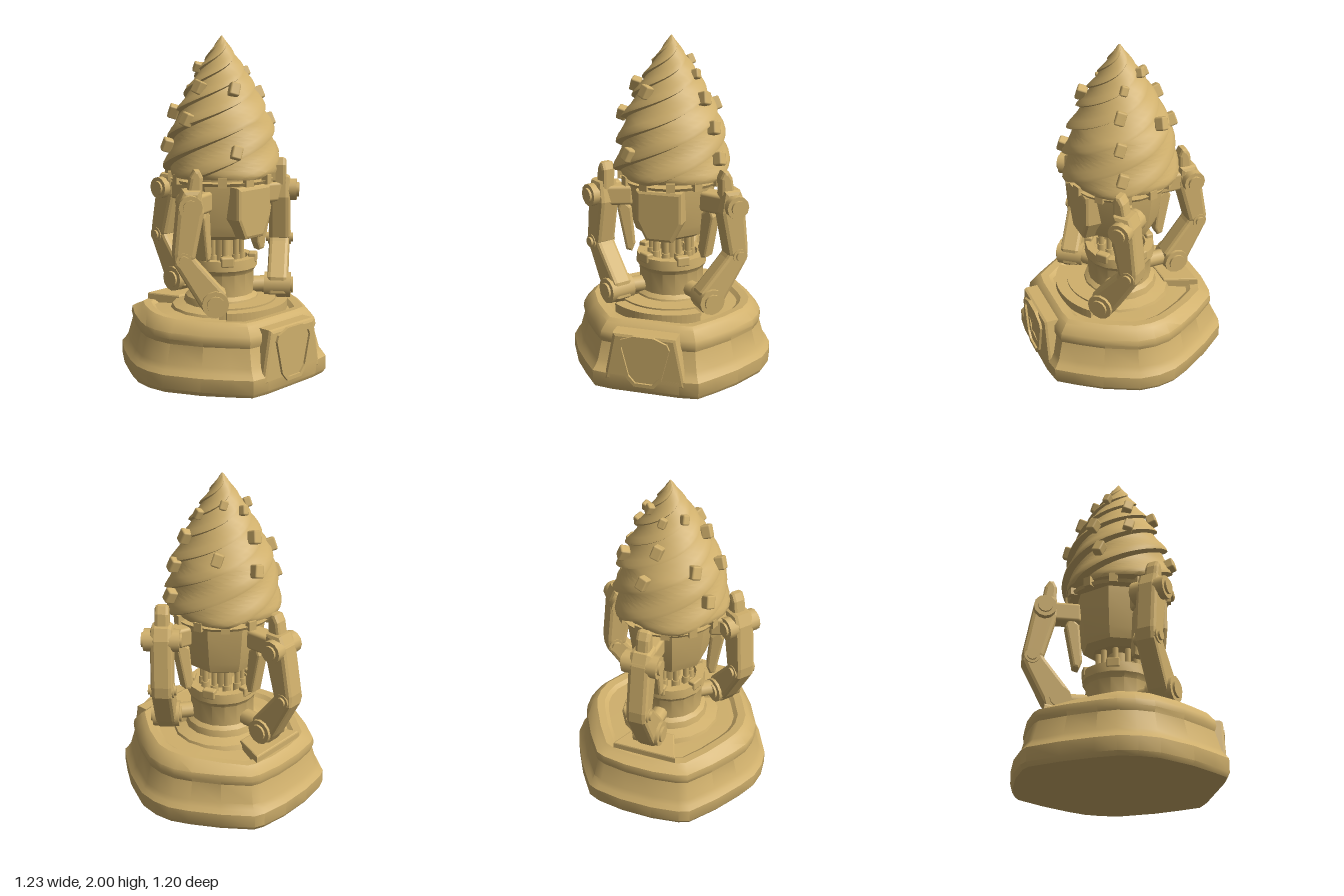
import * as THREE from 'three';
import { toCreasedNormals } from 'three/addons/utils/BufferGeometryUtils.js';
import { RoundedBoxGeometry } from 'three/addons/geometries/RoundedBoxGeometry.js';

const tan = new THREE.MeshStandardMaterial({ color: 0xd0b06c });
tan.name = 'sand tan';

function add(parent, name, geo, x = 0, y = 0, z = 0) {
  const m = new THREE.Mesh(geo, tan);
  m.name = name;
  m.position.set(x, y, z);
  parent.add(m);
  return m;
}

// Skin over closed rings (each running front -> +x -> back), capped at both ends
function loft(rings, crease) {
  const n = rings[0].length, pos = rings.flat(2), idx = [];
  for (let i = 0; i < rings.length - 1; i++)
    for (let j = 0; j < n; j++) {
      const a = i * n + j, b = i * n + (j + 1) % n;
      idx.push(a, b, a + n, b, b + n, a + n);
    }
  [0, rings.length - 1].forEach((r, top) => {
    const c = pos.length / 3, mean = [0, 1, 2].map(k => rings[r].reduce((s, p) => s + p[k], 0) / n);
    pos.push(...mean);
    for (let j = 0; j < n; j++) {
      const a = r * n + j, b = r * n + (j + 1) % n;
      if (top) idx.push(c, a, b); else idx.push(c, b, a);
    }
  });
  const g = new THREE.BufferGeometry();
  g.setAttribute('position', new THREE.Float32BufferAttribute(pos, 3));
  g.setIndex(idx);
  return toCreasedNormals(g, crease);
}

function lathe(points, sides, crease = 0.6) {
  const g = new THREE.LatheGeometry(points.map(p => new THREE.Vector2(...p)), sides);
  return toCreasedNormals(g, crease);
}

function extrude(points, depth, bevel) {
  const s = new THREE.Shape(points.map(p => new THREE.Vector2(...p)));
  return new THREE.ExtrudeGeometry(s, { depth, bevelEnabled: bevel > 0, bevelSize: bevel, bevelThickness: bevel, bevelOffset: -bevel, bevelSegments: 2 });
}

// Cylinder between two points
function rod(parent, name, a, b, r0, r1 = r0, sides = 10) {
  const A = new THREE.Vector3(...a), B = new THREE.Vector3(...b), d = B.clone().sub(A);
  const m = add(parent, name, new THREE.CylinderGeometry(r1, r0, d.length(), sides));
  m.position.copy(A).add(B).multiplyScalar(0.5);
  m.quaternion.setFromUnitVectors(new THREE.Vector3(0, 1, 0), d.normalize());
  return m;
}

function buildBase(root) {
  const g = new THREE.Group();
  g.name = 'base';
  root.add(g);
  // Half outline, front to back, then mirrored
  const half = [[0, 0.575], [0.21, 0.575], [0.32, 0.56], [0.4, 0.46], [0.5, 0.32], [0.6, 0.12], [0.615, 0],
    [0.6, -0.11], [0.55, -0.22], [0.45, -0.39], [0.33, -0.55], [0.27, -0.575], [0.1, -0.6], [0, -0.6]];
  const outline = [...half, ...half.slice(1, -1).reverse().map(([x, z]) => [-x, z])];
  const levels = [[0, 0.975], [0.025, 1], [0.105, 1], [0.13, 0.965], [0.16, 0.935], [0.27, 0.885], [0.3, 0.9],
    [0.335, 0.89], [0.385, 0.82], [0.4, 0.78], [0.395, 0.7], [0.375, 0.66], [0.375, 0.4]];
  // The deck dips towards the back
  const deck = (y, z) => y > 0.34 ? y - 0.09 * Math.max(0, -z - 0.1) : y;
  add(g, 'plinth', loft(levels.map(([y, s]) => outline.map(([x, z]) => [x * s, deck(y, z * s), z * s])), 0.55));

  // Front panel, badge and star
  add(g, 'frontPanel', extrude([[-0.25, 0.06], [0.25, 0.06], [0.19, 0.37], [-0.19, 0.37]], 0.12, 0.02), 0, 0, 0.435);
  const shield = [[-0.06, 0.05], [0.06, 0.05], [0.105, 0.1], [0.155, 0.3], [0.14, 0.335], [0.06, 0.365],
    [-0.06, 0.365], [-0.14, 0.335], [-0.155, 0.3], [-0.105, 0.1]];
  const frame = new THREE.Shape(shield.map(p => new THREE.Vector2(...p)));
  frame.holes.push(new THREE.Path(shield.map(([x, y]) => new THREE.Vector2(x * 0.86, 0.205 + (y - 0.205) * 0.86))));
  add(g, 'badgeRim', new THREE.ExtrudeGeometry(frame, { depth: 0.035, bevelEnabled: false }), 0, 0, 0.555);
  add(g, 'badgePlate', extrude(shield, 0.022, 0), 0, 0, 0.555);
  const ring = [];
  for (let i = 0; i < 10; i++) {
    const a = i * Math.PI / 5, r = i % 2 ? 0.042 : 0.095;
    ring.push([Math.sin(-a) * r, Math.cos(a) * r, 0]);
  }
  // The ring runs clockwise, so it is reversed to face outward
  ring.reverse();
  add(g, 'star', loft([ring, ring.map(([x, y]) => [x * 0.05, y * 0.05, 0.02])].map(r => r.map(([x, y, z]) => [-x, y, z])).map(r => r.reverse()), 0.1), 0, 0.2, 0.577);

  // Raised crescents ahead of the column and a bracket behind it
  [[0.29, 0.4, 0.43, 0.72], [0.22, 0.33, 0.44, 0.85]].forEach(([r0, r1, y, w]) => {
    const s = new THREE.Shape();
    s.absarc(0, 0, r1, Math.PI / 2 - w, Math.PI / 2 + w, false);
    s.absarc(0, 0, r0, Math.PI / 2 + w, Math.PI / 2 - w, true);
    const geo = new THREE.ExtrudeGeometry(s, { depth: 0.09, bevelEnabled: false, curveSegments: 10 });
    add(g, 'frontStep', geo.rotateX(Math.PI / 2), 0, y, 0);
  });
  add(g, 'rearBracket', extrude([[-0.2, 0.45], [0.2, 0.45], [0.12, 0.25], [-0.12, 0.25]], 0.06, 0.01).rotateX(-Math.PI / 2), 0, 0.34, 0);
}

function buildColumn(root) {
  const g = new THREE.Group();
  g.name = 'column';
  root.add(g);
  add(g, 'pedestal', lathe([[0.32, 0.34], [0.3, 0.39], [0.23, 0.41], [0.22, 0.45], [0.195, 0.47], [0.195, 0.6],
    [0.215, 0.63], [0.21, 0.69], [0.16, 0.69], [0.15, 0.66], [0, 0.66]], 16));
  add(g, 'core', new THREE.CylinderGeometry(0.06, 0.06, 0.2, 10), 0, 0.74, 0);
  for (let i = 0; i < 10; i++) {
    const a = i * Math.PI / 5, s = Math.sin(a), c = Math.cos(a);
    rod(g, 'thinRod', [0.12 * s, 0.65, 0.12 * c], [0.12 * s, 0.84, 0.12 * c], 0.018, 0.018, 6);
    rod(g, 'rodFoot', [0.12 * s, 0.65, 0.12 * c], [0.12 * s, 0.71, 0.12 * c], 0.028, 0.025, 6);
    if (i % 2) add(g, 'collarTooth', new RoundedBoxGeometry(0.08, 0.06, 0.05, 1, 0.01), 0.19 * s, 0.685, 0.19 * c).rotation.y = a;
  }
  // Motor housing: eight flat sides, one facing front
  const housing = lathe([[0, 0.81], [0.16, 0.81], [0.215, 0.84], [0.235, 0.9], [0.262, 1.1], [0.265, 1.15], [0, 1.15]], 8, 0.3);
  add(g, 'motorHousing', housing).rotation.y = Math.PI / 8;
  const plate = extrude([[-0.08, 0.83], [0.08, 0.83], [0.14, 0.95], [0.14, 1.14], [-0.14, 1.14], [-0.14, 0.95]], 0.08, 0.02);
  add(g, 'housingFrontPlate', plate, 0, 0, 0.175);
  // Bearing ring and lugs under the drill
  add(g, 'bearingPlate', new THREE.CylinderGeometry(0.31, 0.3, 0.018, 24), 0, 1.16, 0);
  add(g, 'bearingNeck', new THREE.CylinderGeometry(0.24, 0.24, 0.08, 20), 0, 1.17, 0);
  for (let i = 0; i < 12; i++) {
    const a = (i + 0.5) * Math.PI / 6;
    add(g, 'bearingLug', new THREE.BoxGeometry(0.05, 0.055, 0.04), 0.3 * Math.sin(a), 1.175, 0.3 * Math.cos(a)).rotation.y = a;
  }
}

const drillProfile = [[1.19, 0.32], [1.215, 0.335], [1.28, 0.33], [1.36, 0.315], [1.44, 0.305], [1.52, 0.285], [1.6, 0.248],
  [1.68, 0.21], [1.76, 0.165], [1.84, 0.115], [1.9, 0.075], [1.95, 0.04], [2, 0.004]];
function drillRadius(y) {
  const i = Math.max(1, drillProfile.findIndex(p => p[0] >= y));
  const [y0, r0] = drillProfile[i - 1], [y1, r1] = drillProfile[i];
  return r0 + (r1 - r0) * (y - y0) / (y1 - y0);
}

function buildDrill(root) {
  const g = new THREE.Group();
  g.name = 'drill';
  root.add(g);
  // Five spiral flights, tightening upward: each swells slowly, then drops to a ledge
  const starts = 5, flight = [[0, 0.92], [0.3, 0.95], [0.6, 1.01], [0.8, 1.05], [0.92, 1.05]];
  const rings = [];
  for (let i = 0; i <= 44; i++) {
    const t = i / 44, y = 1.19 + 0.81 * t, r = drillRadius(Math.min(y, 2)), ring = [];
    for (let s = 0; s < starts; s++)
      for (const [f, k] of flight) {
        const a = ((s + f) / starts + 0.92 * t + 0.4 * t ** 3) * Math.PI * 2;
        ring.push([Math.sin(a) * r * k, y, Math.cos(a) * r * k]);
      }
    rings.push(ring);
  }
  add(g, 'spiralBit', loft(rings, 0.6));
  // Cutting studs: direction x, z and height
  const studs = [[0.33, 0.12, 1.32], [0.27, 0.11, 1.5], [0.2, 0.08, 1.66], [0.12, 0.03, 1.79], [-0.17, 0.28, 1.35],
    [-0.3, 0.01, 1.53], [-0.2, 0.02, 1.71], [-0.08, 0.16, 1.7], [0.05, -0.31, 1.5], [-0.01, -0.24, 1.67],
    [-0.01, -0.15, 1.81], [-0.3, -0.17, 1.37], [-0.23, -0.2, 1.56], [0.22, -0.16, 1.58], [-0.08, -0.06, 1.82], [0.06, -0.06, 1.85]];
  for (const [x, z, y] of studs) {
    const a = Math.atan2(x, z), r = drillRadius(y) + 0.018, size = y > 1.75 ? 0.045 : 0.06;
    const m = add(g, 'cuttingStud', new RoundedBoxGeometry(size, size * 1.3, size, 1, 0.01), r * Math.sin(a), y, r * Math.cos(a));
    m.rotation.set(-0.3, a, -0.3, 'YXZ');
  }
}

// Support arm in its own plane: local x points outward, pivots run along local z.
// lean tips the upper end outward; bearing is the direction of its housing bracket.
function buildArm(root, name, x, z, angle, lean, bearing) {
  const g = new THREE.Group();
  g.name = name;
  g.position.set(x, 0, z);
  g.rotation.y = angle;
  root.add(g);
  const tip = ([u, y]) => [u + lean * (y - 0.45) / 0.8, y];
  const lower = [[-0.07, 0.45], [-0.04, 0.42], [0.05, 0.42], [0.09, 0.48], [0.215, 0.72], [0.215, 0.78], [0.13, 0.82], [0.08, 0.74], [-0.07, 0.55]];
  const upper = [[0.09, 0.76], [0.15, 0.69], [0.215, 0.73], [0.215, 0.79], [0.165, 1.08], [0.13, 1.15], [0.03, 1.15], [0.02, 1.02]];
  add(g, 'lowerLink', extrude(lower.map(tip), 0.08, 0.022), 0, 0, -0.04);
  add(g, 'upperLink', extrude(upper.map(tip), 0.08, 0.025), 0, 0, -0.04);
  const horn = [[0.03, 1.1], [0.12, 1.1], [0.1, 1.22], [0.075, 1.262], [0.045, 1.262], [0.025, 1.22]];
  add(g, 'armHorn', extrude(horn, 0.045, 0.02), lean * 0.7, 0, -0.0225);
  // Pivots with raised caps
  for (const [n, u0, y, r, h] of [['foot', 0, 0.49, 0.078, 0.08], ['knee', 0.16, 0.75, 0.045, 0.07], ['shoulder', 0.1, 1.06, 0.068, 0.105]]) {
    const [u] = tip([u0, y]);
    rod(g, n + 'Pivot', [u, y, -h], [u, y, h], r, r, 12);
    rod(g, n + 'PivotCap', [u, y, -h - 0.014], [u, y, h + 0.014], r * 0.65, r * 0.65, 12);
  }
  // Pin joining the foot to the column
  rod(root, 'footPin', [x * 0.4, 0.5, z * 0.4], [x * 0.95, 0.5, z * 0.95], 0.05);
  // Bracket from the housing to the shoulder, with a hanging damper
  const mount = new THREE.Group();
  mount.name = name + 'Mount';
  mount.rotation.y = bearing;
  root.add(mount);
  add(mount, 'shoulderBracket', new RoundedBoxGeometry(0.2, 0.12, 0.11, 2, 0.02), 0.33, 1.055, 0);
  const damper = [[0.22, 0.75], [0.24, 0.7], [0.275, 0.71], [0.325, 0.97], [0.3, 1.03], [0.24, 0.98]];
  add(mount, 'damper', extrude(damper, 0.06, 0.014), 0, 0, -0.03);
}

export function createModel() {
  const root = new THREE.Group();
  root.name = 'drillTower';
  buildBase(root);
  buildColumn(root);
  buildDrill(root);
  const swing = 0.66, bearing = -0.33;
  buildArm(root, 'leftArm', 0.277, 0.21, swing, 0.06, bearing);
  buildArm(root, 'rightArm', -0.277, 0.21, Math.PI - swing, 0.06, Math.PI - bearing);
  buildArm(root, 'rearArm', 0, -0.36, Math.PI / 2, -0.01, Math.PI / 2);
  return root;
}
